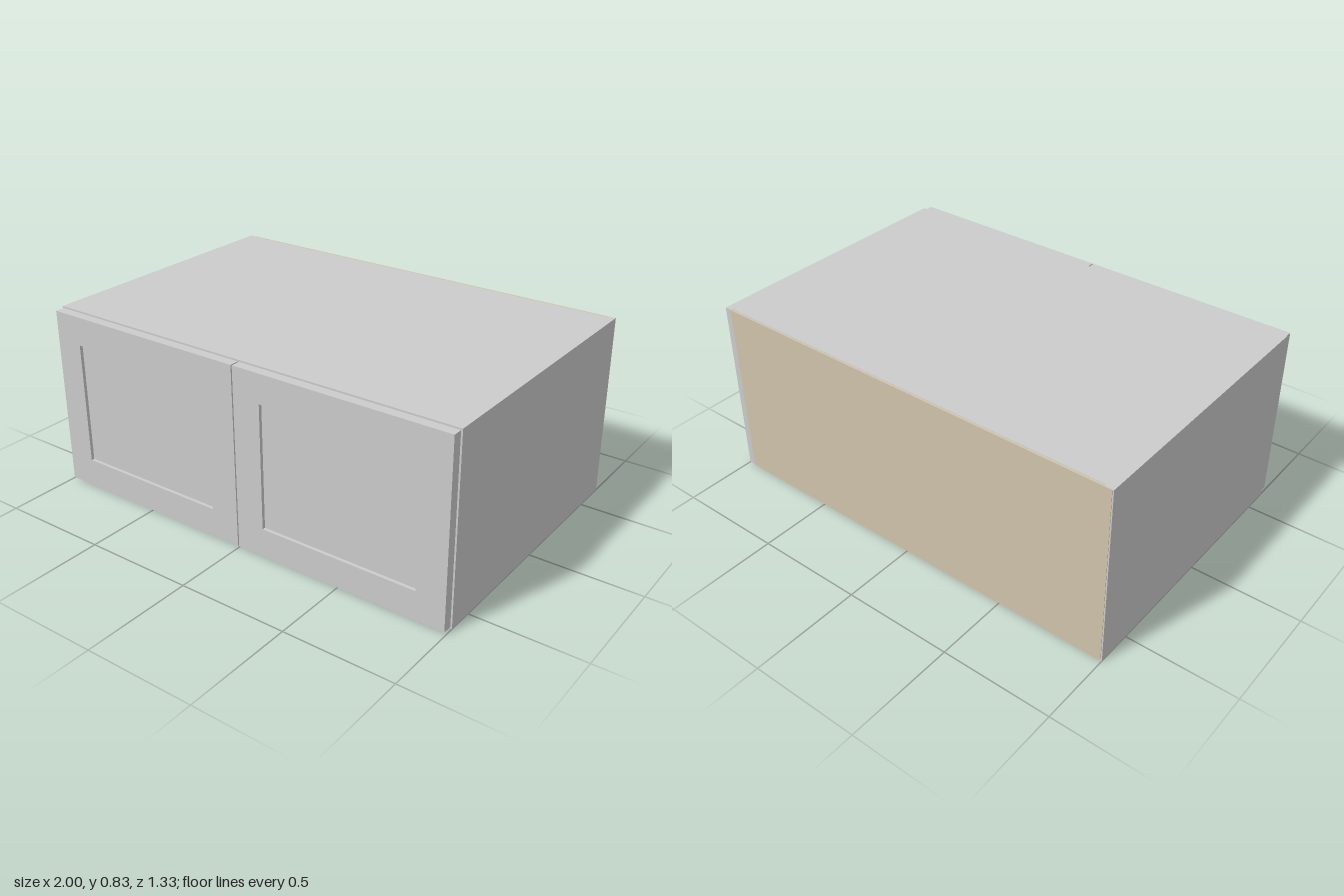
import * as THREE from 'three';

const grey = new THREE.MeshStandardMaterial({ color: 0xcccccc });
const wood = new THREE.MeshStandardMaterial({ color: 0xcfc3ab });

const H = 0.835;      // cabinet height
const T = 0.04;       // board thickness
const BACK = -0.662;  // rear face
const FRONT = 0.618;  // front of the carcass, behind the doors
const DOOR_FRONT = 0.662;

// Box given by its minimum and maximum corners
function board(name, material, [x0, y0, z0], [x1, y1, z1]) {
  const mesh = new THREE.Mesh(new THREE.BoxGeometry(x1 - x0, y1 - y0, z1 - z0), material);
  mesh.position.set((x0 + x1) / 2, (y0 + y1) / 2, (z0 + z1) / 2);
  mesh.name = name;
  return mesh;
}

function rectangle(PathType, x0, y0, x1, y1) {
  return new PathType([[x0, y0], [x1, y0], [x1, y1], [x0, y1]].map(([x, y]) => new THREE.Vector2(x, y)));
}

// Framed door with a recessed centre panel
function createDoor(name, side) {
  const door = new THREE.Group();
  door.name = name;
  const w = 0.99, h = 0.82, rail = 0.13;
  const shape = rectangle(THREE.Shape, -w / 2, 0, w / 2, h);
  shape.holes.push(rectangle(THREE.Path, -w / 2 + rail, rail, w / 2 - rail, h - rail));
  const depth = DOOR_FRONT - FRONT - 0.001;
  const frame = new THREE.Mesh(new THREE.ExtrudeGeometry(shape, { depth, bevelEnabled: false }), grey);
  frame.name = 'doorFrame';
  door.add(frame, board('doorPanel', grey,
    [-w / 2 + rail, rail, 0.008], [w / 2 - rail, h - rail, depth - 0.015]));
  door.position.set(side * 0.498, 0.008, FRONT + 0.001);
  return door;
}

export function createModel() {
  const cabinet = new THREE.Group();
  cabinet.name = 'wallCabinet';

  // Sides, with top and bottom boards fitted between them
  const inner = 1 - T;
  cabinet.add(
    board('leftSide', grey, [inner, 0, BACK], [1, H, FRONT]),
    board('rightSide', grey, [-1, 0, BACK], [-inner, H, FRONT]),
    board('topBoard', grey, [-inner, H - T, BACK + 0.01], [inner, H, FRONT]),
    board('bottomBoard', wood, [-inner, 0, BACK + 0.01], [inner, T, FRONT])
  );

  // Thin back sheet
  cabinet.add(board('backPanel', wood, [-0.994, 0.001, BACK - 0.002], [0.966, H - 0.001, BACK + 0.01]));

  // Pair of doors
  cabinet.add(createDoor('leftDoor', 1), createDoor('rightDoor', -1));
  return cabinet;
}
